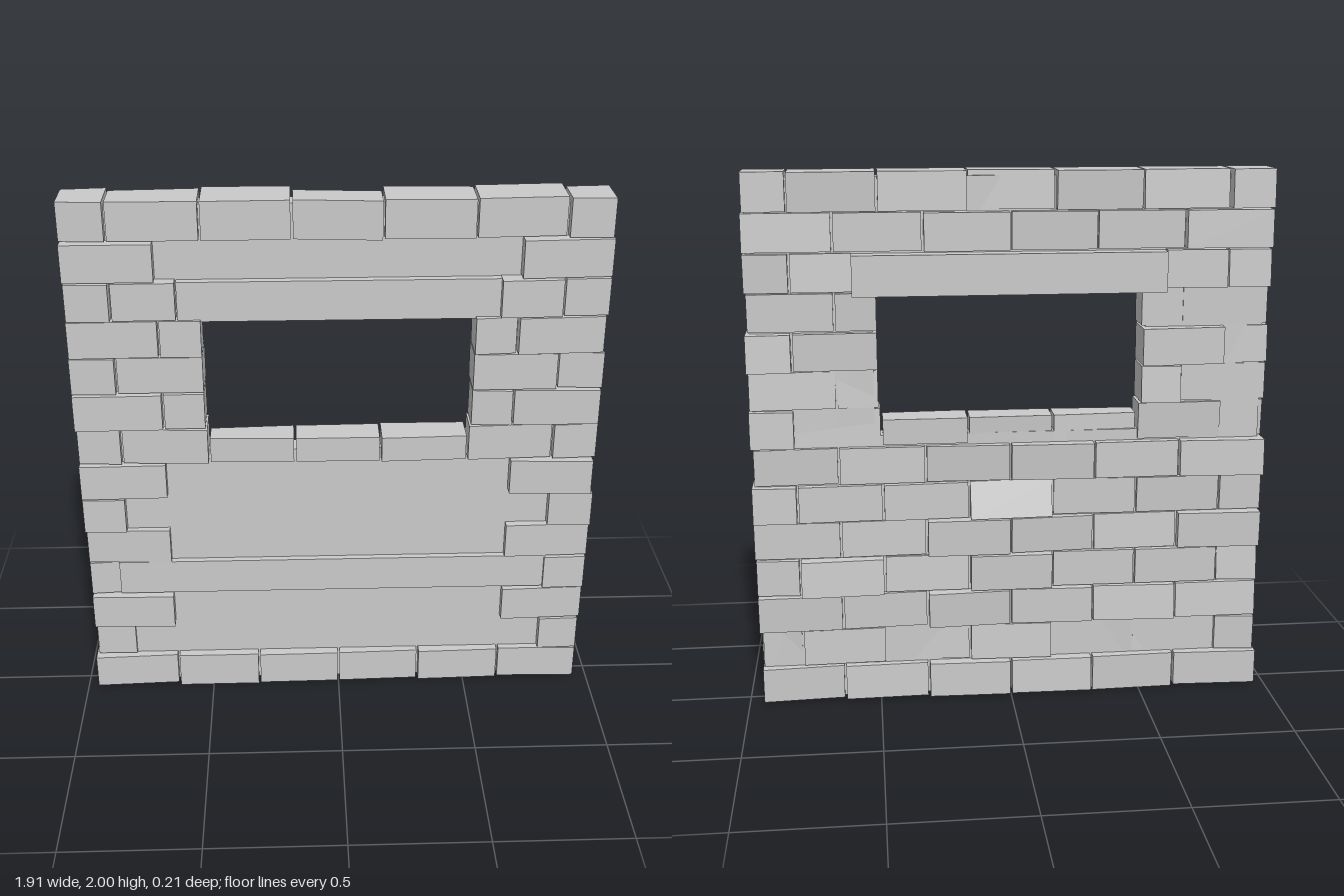
import * as THREE from 'three';

const stone = new THREE.MeshStandardMaterial({ color: 0xcacaca });
stone.name = 'light grey stone';

// Repeatable variation in -1..1
let seed = 11;
const vary = () => {
  seed = (seed * 16807) % 2147483647;
  return (seed / 2147483647) * 2 - 1;
};

// Block between two corners; each big face can lean sideways (yaw) and up/down (tilt)
function block(name, x0, x1, y0, y1, z0, z1, lean = {}) {
  const { yawFront = 0, yawBack = 0, tiltBack = 0 } = lean;
  const g = new THREE.BoxGeometry(x1 - x0, y1 - y0, z1 - z0);
  const p = g.attributes.position;
  for (let i = 0; i < p.count; i++) {
    const sx = Math.sign(p.getX(i)), sy = Math.sign(p.getY(i)), z = p.getZ(i);
    p.setZ(i, z + (z > 0 ? yawFront * sx : yawBack * sx + tiltBack * sy));
  }
  g.translate((x0 + x1) / 2, (y0 + y1) / 2, (z0 + z1) / 2);
  g.computeVertexNormals();
  const mesh = new THREE.Mesh(g, stone);
  mesh.name = name;
  return mesh;
}

const ROW = 1 / 7;
const fullRow = [-0.953, -0.635, -0.315, 0, 0.315, 0.635, 0.95];
const halfRow = [-0.953, -0.795, -0.475, -0.16, 0.155, 0.475, 0.79, 0.95];
// Front and back depth of the bricks, course by course from the bottom
const front = [0.07, 0.06, 0.07, 0.075, 0.065, 0.08, 0.08, 0.065, 0.075, 0.075, 0.08, 0.08, 0.08, 0.07];
const back = [-0.07, -0.05, -0.07, -0.075, -0.065, -0.06, -0.075, -0.055, -0.06, -0.065, -0.06, -0.065, -0.07, -0.075];

export function createModel() {
  const wall = new THREE.Group();
  wall.name = 'brickWall';

  // Flat core slab with the window opening
  const outline = new THREE.Shape([[-0.94, 0.01], [0.94, 0.01], [0.94, 1.98], [-0.94, 1.98]]
    .map(([x, y]) => new THREE.Vector2(x, y)));
  outline.holes.push(new THREE.Path([[-0.5, 1.04], [-0.5, 1.6], [0.5, 1.6], [0.5, 1.04]]
    .map(([x, y]) => new THREE.Vector2(x, y))));
  const slab = new THREE.Mesh(
    new THREE.ExtrudeGeometry(outline, { depth: 0.075, bevelEnabled: false }).translate(0, 0, -0.04), stone);
  slab.name = 'coreSlab';
  wall.add(slab);

  // Raised band across the plain front, and the lintel over the window
  wall.add(block('frontBand', -0.84, 0.8, 0.435, 0.573, 0, 0.06));
  wall.add(block('lintel', -0.565, 0.57, 1.563, 1.71, -0.108, 0.065));

  // Brick courses: end, sill and cap bricks go through, the others show at the back only
  for (let r = 0; r < 14; r++) {
    const course = new THREE.Group();
    course.name = `course${r + 1}`;
    const xs = r % 2 ? halfRow : fullRow;
    const last = xs.length - 2;
    const throughRow = r === 0 || r === 7 || r === 13;
    const atWindow = r >= 8 && r <= 11;
    for (let i = 0; i <= last; i++) {
      const end = i === 0 || i === last;
      let x0 = xs[i] + (i === 0 ? vary() * 0.006 : 0.004);
      let x1 = xs[i + 1] + (i === last ? vary() * 0.006 : -0.004);
      let y0 = r * ROW + 0.004, y1 = (r + 1) * ROW - 0.002;
      if (r === 0) y0 = i === 1 ? 0 : 0.008;
      if (r === 13) y1 = 2;
      if (atWindow) {
        // Trim bricks back to the jambs, or to the lintel ends
        const edge = r === 11 ? 0.57 : 0.485;
        if (x0 > -edge && x1 < edge) continue;
        if (x0 < 0) x1 = Math.min(x1, -edge);
        else x0 = Math.max(x0, edge);
        if (x1 - x0 < 0.03) continue;
      }
      if (r === 7 && i > 1 && i < last - 1) y1 = 1.1;
      const through = throughRow || atWindow || end;
      let zf = through ? front[r] + vary() * 0.01 : 0;
      let zb = back[r] + vary() * 0.022;
      const lean = {
        yawFront: through ? vary() * 0.007 : 0,
        yawBack: vary() * 0.008,
        tiltBack: vary() * 0.005,
      };
      // Sunken end bricks at the lower right, and the proud brick beside the lintel
      if (i === 0 && (r === 1 || r === 3)) zf = 0.05;
      if (r === 11 && i === last - 1) zf = 0.095;
      // Single brick leaning inward at the top, and the set-back cap brick
      if (r === 5 && i === 3) { lean.tiltBack = 0.022; zb = -0.065; }
      if (r === 13 && i === 3) { lean.yawFront = 0.012; lean.yawBack = 0.012; zb = -0.045; }
      course.add(block(end ? 'endBrick' : 'brick', x0, x1, y0, y1, zb, zf, lean));
    }
    wall.add(course);
  }
  return wall;
}
